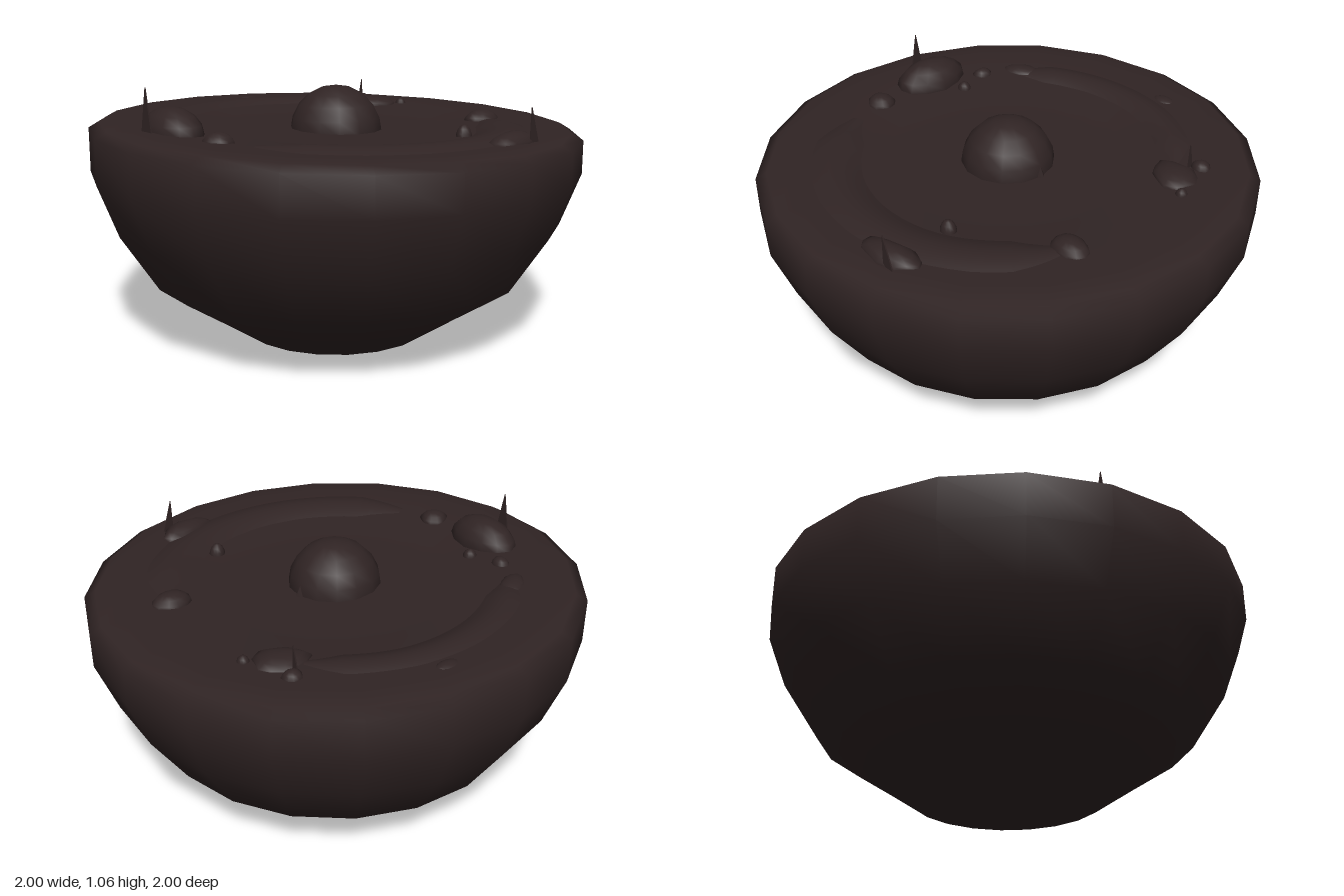
import * as THREE from 'three';

const earth = new THREE.MeshStandardMaterial({ color: 0x302424 });
earth.name = 'dark earth';
earth.side = THREE.DoubleSide;

// profile from the underside, up the wall and across the top
const WALL = [[0, 0], [0.39, 0], [0.57, 0.12], [0.77, 0.25], [0.92, 0.48], [1, 0.69]];
const TOP = [[1, 0.846], [0.955, 0.872], [0.85, 0.877], [0.7, 0.87], [0.5, 0.857], [0.4, 0.85], [0, 0.846]];
const tilt = (x, z) => -0.015 * x - 0.0175 * z;

// height of the ground at a point on top
function ground(x, z) {
  const r = Math.hypot(x, z);
  for (let i = 1; i < TOP.length; i++) {
    const [r0, y0] = TOP[i - 1], [r1, y1] = TOP[i];
    if (r >= r1) return y0 + (y1 - y0) * (r0 - r) / (r0 - r1) + tilt(x, z);
  }
  return 0.85;
}

function mesh(name, geometry) {
  const m = new THREE.Mesh(geometry, earth);
  m.name = name;
  return m;
}

// half-buried stone, its outline bent a little by the seed
function stone(name, x, z, rx, rz, top, turn = 0, rough = 0, seed = 1) {
  const g = new THREE.SphereGeometry(1, 12, 8);
  const p = g.attributes.position;
  for (let i = 0; i < p.count; i++) {
    const a = Math.atan2(p.getZ(i), p.getX(i));
    const k = 1 + rough * (Math.sin(3 * a + seed) + 0.6 * Math.sin(5 * a + 2 * seed));
    p.setX(i, p.getX(i) * k);
    p.setZ(i, p.getZ(i) * k);
  }
  const m = mesh(name, g);
  const y = ground(x, z) - 0.01;
  m.position.set(x, y, z);
  m.scale.set(rx, top - y, rz);
  m.rotation.y = turn;
  return m;
}

// crescent ridge swept round the middle, angles measured from +z towards +x
function ridge(name, a0, a1, inner, outer, height) {
  const N = 24, M = 8, pos = [], index = [];
  for (let i = 0; i <= N; i++) {
    const t = i / N, a = a0 + (a1 - a0) * t;
    const taper = Math.min(1, 0.35 + 5 * Math.min(t, 1 - t));
    const mid = (inner + outer) / 2 - 0.06 * Math.max(0, t - 0.65);
    const half = (outer - inner) / 2 * taper;
    for (let j = 0; j <= M; j++) {
      const s = j / M, r = mid + half * (2 * s - 1);
      const x = Math.sin(a) * r, z = Math.cos(a) * r;
      const lift = height * Math.min(1, taper) * Math.sin(Math.PI * s) - 0.006;
      pos.push(x, ground(x, z) + lift, z);
      if (i < N && j < M) {
        const k = i * (M + 1) + j;
        index.push(k, k + 1, k + M + 1, k + 1, k + M + 2, k + M + 1);
      }
    }
  }
  const g = new THREE.BufferGeometry();
  g.setAttribute('position', new THREE.Float32BufferAttribute(pos, 3));
  // keep faces pointing up for either sweep direction
  if (a1 < a0) index.reverse();
  g.setIndex(index);
  g.computeVertexNormals();
  if (g.attributes.normal.getY(Math.floor(N / 2) * (M + 1) + 4) < 0) {
    g.setIndex(index.slice().reverse());
    g.computeVertexNormals();
  }
  return mesh(name, g);
}

// thin upright shard
function shard(name, x, y, z, width, height, lean, turn) {
  const s = new THREE.Shape();
  s.moveTo(-width / 2, 0);
  s.lineTo(width / 2, 0);
  s.lineTo(lean, height);
  const g = new THREE.ExtrudeGeometry(s, { depth: 0.005, bevelEnabled: false });
  g.translate(0, 0, -0.0025);
  const m = mesh(name, g);
  m.position.set(x, y, z);
  m.rotation.y = turn;
  return m;
}

export function createModel() {
  const group = new THREE.Group();
  group.name = 'earthMound';

  // rounded bowl of earth with a gently tilted top
  const body = new THREE.LatheGeometry([...WALL, ...TOP].map(([x, y]) => new THREE.Vector2(x, y)), 20);
  const p = body.attributes.position;
  for (let i = 0; i < p.count; i++) {
    if (p.getY(i) > 0.8) p.setY(i, p.getY(i) + tilt(p.getX(i), p.getZ(i)));
  }
  group.add(mesh('bowl', body));

  // raised crescents
  group.add(ridge('frontRidge', -1.18, 1.1, 0.57, 0.8, 0.03));
  group.add(ridge('backRidge', 3.88, 2.25, 0.6, 0.77, 0.025));

  // central dome and the chip at its side
  const dome = mesh('dome', new THREE.SphereGeometry(0.19, 14, 10));
  dome.position.y = 0.835;
  group.add(dome);
  const chip = mesh('domeChip', new THREE.ConeGeometry(0.035, 0.07, 4));
  chip.position.set(0.175, 0.865, 0);
  group.add(chip);

  // scattered stones: x, z, radii, top height, turn, roughness
  const stones = [
    [-0.68, -0.19, 0.105, 0.17, 0.98, -0.1, 0.03],
    [-0.56, -0.39, 0.035, 0.045, 0.91, -0.3, 0.06],
    [-0.53, -0.25, 0.03, 0.03, 0.905],
    [-0.68, 0.1, 0.062, 0.06, 0.915, 0, 0.06],
    [0.57, -0.35, 0.11, 0.085, 0.9, -0.4, 0.1],
    [0.61, -0.465, 0.042, 0.038, 0.9, 0, 0.05],
    [0.67, -0.265, 0.025, 0.025, 0.89],
    [0.6, 0.28, 0.085, 0.065, 0.895, -0.1, 0.03],
    [0.21, 0.51, 0.035, 0.032, 0.895],
    [0.19, 0.765, 0.14, 0.065, 0.9, 0.15, 0.1],
    [-0.46, -0.54, 0.085, 0.05, 0.905, 0.5, 0.05],
    [0.17, -0.78, 0.055, 0.035, 0.895, 0, 0.03],
  ];
  stones.forEach(([x, z, rx, rz, top, turn, rough], i) =>
    group.add(stone('stone' + (i + 1), x, z, rx, rz, top, turn, rough, i + 1)));

  // three sharp shards
  group.add(shard('leftShard', -0.79, 0.87, -0.2, 0.07, 0.19, 0, Math.PI / 2));
  group.add(shard('frontShard', 0.25, 0.83, 0.82, 0.06, 0.16, -0.025, 0));
  group.add(shard('rightShard', 0.575, 0.86, -0.44, 0.03, 0.11, -0.01, Math.PI / 2));
  return group;
}
